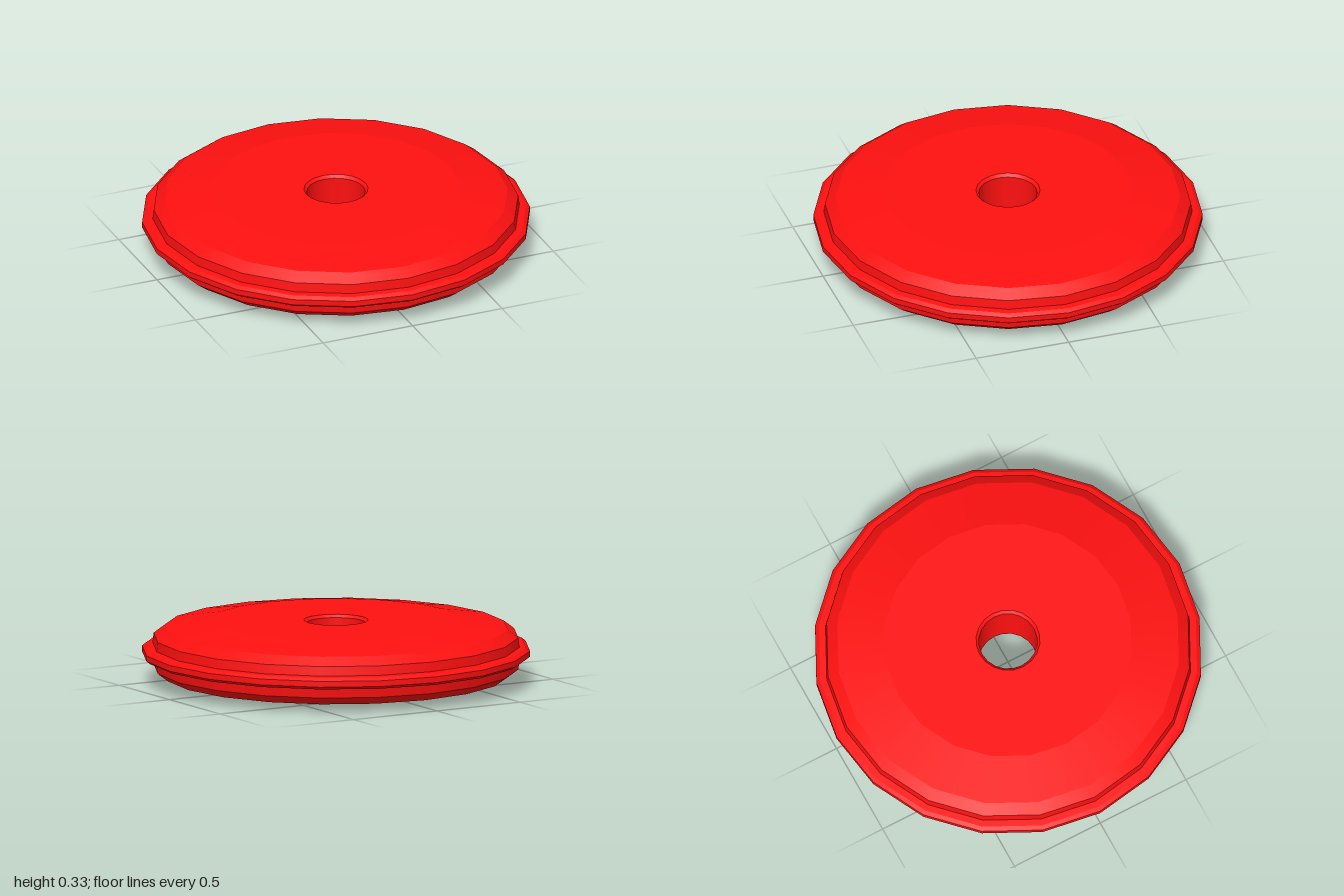
import * as THREE from 'three';
import { mergeGeometries } from 'three/addons/utils/BufferGeometryUtils.js';

const SIDES = 20;
const MID = 0.163; // height of the mirror plane

// Turns each section separately: smooth around, crisp between sections.
function turned(name, sections, material) {
  const bands = sections.map((points) =>
    new THREE.LatheGeometry(points.map(([r, y]) => new THREE.Vector2(r, y)), SIDES));
  const mesh = new THREE.Mesh(mergeGeometries(bands), material);
  mesh.name = name;
  return mesh;
}

// Adds the mirrored lower half to sections of the upper half.
function mirrored(sections) {
  const lower = sections.map((s) => s.map(([r, y]) => [r, 2 * MID - y]).reverse());
  return [...lower, ...sections];
}

export function createModel() {
  const group = new THREE.Group();
  group.name = 'disc';
  const red = new THREE.MeshStandardMaterial({ color: 0xff1010 });

  // Flat faces, sloping shoulders and the side wall
  group.add(turned('discBody', mirrored([
    [[0.95, MID], [0.94, 0.245]],
    [[0.94, 0.245], [0.885, 0.287]],
    [[0.885, 0.287], [0.64, 0.326]],
    [[0.64, 0.326], [0.165, 0.326]],
  ]), red));

  // Raised bead around the rim
  group.add(turned('rimBead', mirrored([
    [[1, MID], [1, 0.178]],
    [[1, 0.178], [0.98, 0.193]],
    [[0.98, 0.193], [0.94, 0.197]],
  ]), red));

  // Centre bore with chamfered edges
  group.add(turned('centreBore', mirrored([
    [[0.165, 0.326], [0.15, 0.311]],
    [[0.15, 0.311], [0.15, MID]],
  ]), red));

  return group;
}
